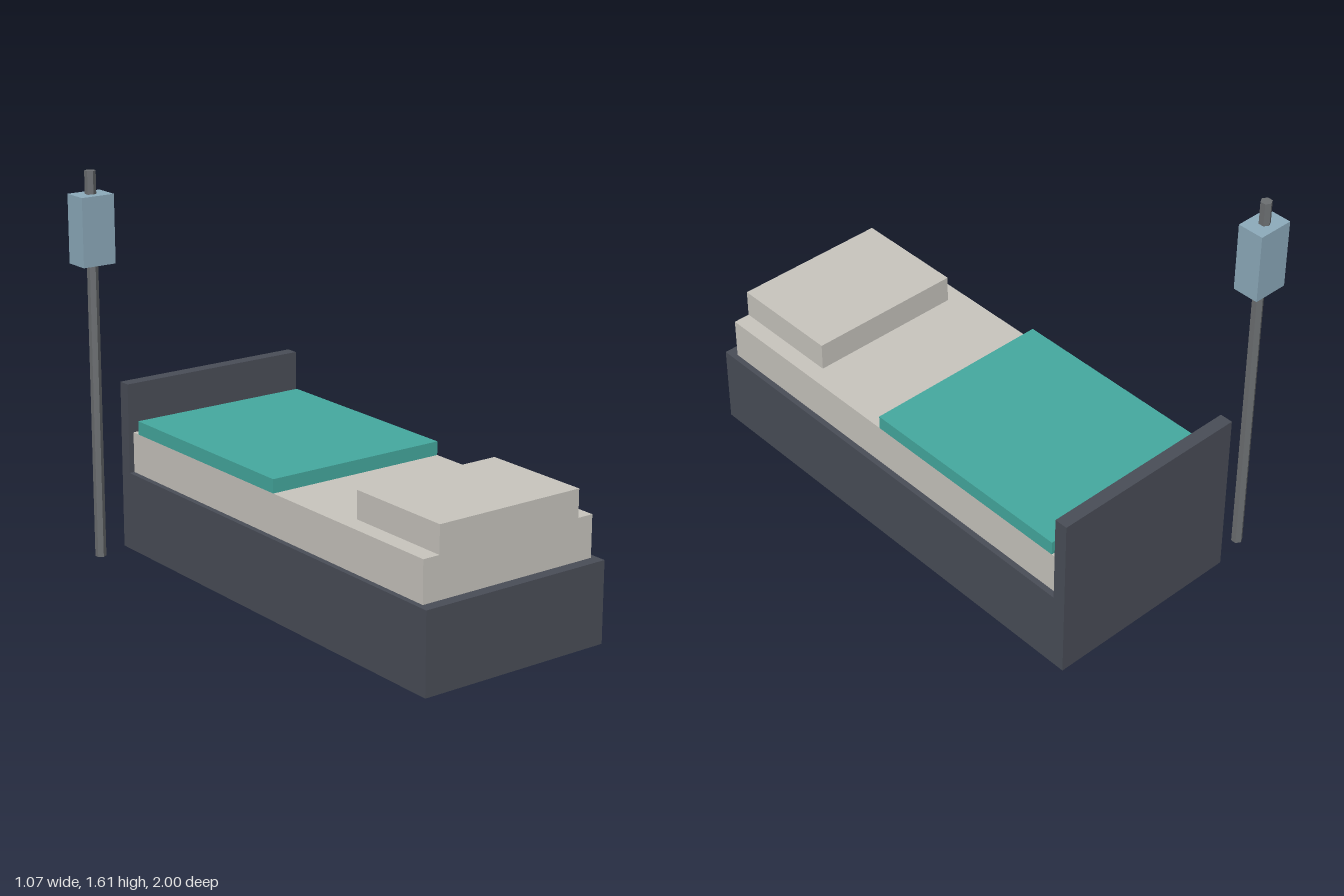
import * as THREE from 'three';

const mat = (name, color) => {
  const m = new THREE.MeshStandardMaterial({ color });
  m.name = name;
  return m;
};

export function createModel() {
  const group = new THREE.Group();
  const frame = mat('dark frame', 0x4a4e58);
  const linen = mat('pale linen', 0xc9c6bf);
  const teal = mat('teal blanket', 0x45aaa0);
  const steel = mat('grey steel', 0x6c6f72);
  const fluid = mat('pale blue', 0x8eacbd);

  // Box given by its lower and upper limits on each axis
  const box = (name, material, [x0, x1], [y0, y1], [z0, z1]) => {
    const mesh = new THREE.Mesh(new THREE.BoxGeometry(x1 - x0, y1 - y0, z1 - z0), material);
    mesh.position.set((x0 + x1) / 2, (y0 + y1) / 2, (z0 + z1) / 2);
    mesh.name = name;
    group.add(mesh);
  };

  // Bed
  const bedX = [-0.318, 0.532], mattressX = [-0.295, 0.508];
  box('bedBase', frame, bedX, [0, 0.333], [-0.935, 1]);
  box('endBoard', frame, bedX, [0, 0.712], [-0.99, -0.935]);
  box('mattress', linen, mattressX, [0.333, 0.504], [-0.935, 0.952]);
  box('blanket', teal, mattressX, [0.504, 0.561], [-0.896, 0.052]);
  box('pillow', linen, [-0.222, 0.438], [0.504, 0.618], [0.478, 0.952]);

  // Drip stand: hexagonal pole with a box near the top
  const pole = new THREE.Mesh(new THREE.CylinderGeometry(0.0227, 0.0227, 1.612, 6), steel);
  pole.geometry = pole.geometry.toNonIndexed();
  pole.geometry.computeVertexNormals();
  pole.position.set(-0.461, 0.806, -0.945);
  pole.name = 'standPole';
  group.add(pole);
  box('dripBox', fluid, [-0.534, -0.387], [1.236, 1.518], [-1, -0.89]);

  return group;
}
